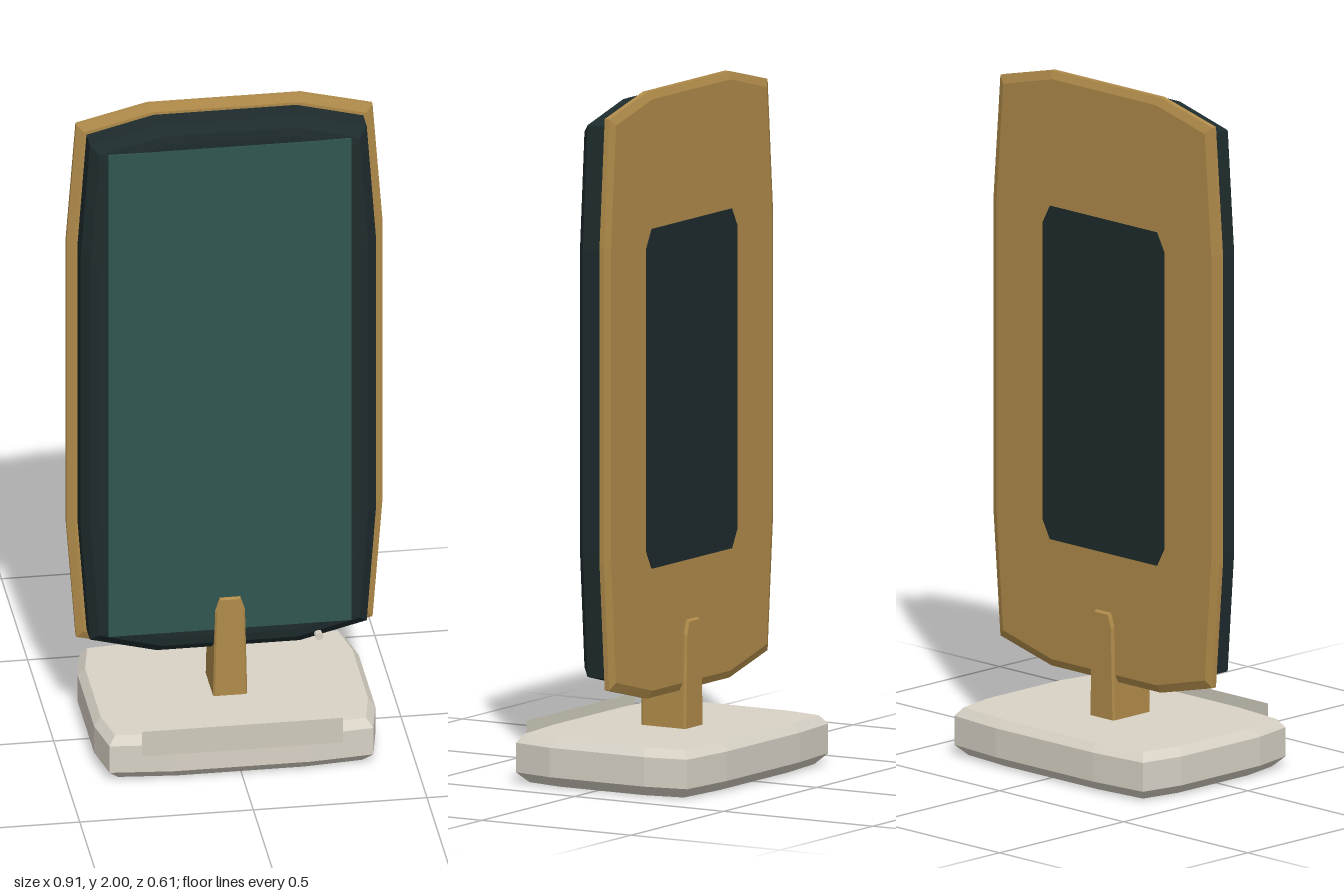
import * as THREE from 'three';

const mat = (name, color) => Object.assign(new THREE.MeshStandardMaterial({ color, flatShading: true }), { name });

// Twelve-sided bowed rectangle, counter-clockwise, half sizes w and h
function outline(w, h) {
  const q = [[1, 0.52], [0.938, 0.942], [0.485, 1]];
  const flip = q.slice().reverse();
  return [
    ...q.map(([x, y]) => [x * w, y * h]),
    ...flip.map(([x, y]) => [-x * w, y * h]),
    ...q.map(([x, y]) => [-x * w, -y * h]),
    ...flip.map(([x, y]) => [x * w, -y * h]),
  ];
}

// Solid slab through rings [z, inset] from back to front, capped at both ends
function slab(w, h, rings) {
  const loops = rings.map(([z, d]) => outline(w - d, h - d).map(([x, y]) => [x, y, z]));
  const n = loops[0].length;
  const pos = [];
  const tri = (...pts) => pts.forEach((p) => pos.push(...p));
  for (let r = 0; r < loops.length - 1; r++) {
    const a = loops[r], b = loops[r + 1];
    for (let i = 0; i < n; i++) {
      const j = (i + 1) % n;
      tri(a[i], a[j], b[j]);
      tri(a[i], b[j], b[i]);
    }
  }
  const back = loops[0], front = loops[loops.length - 1];
  for (let i = 1; i < n - 1; i++) {
    tri(back[0], back[i + 1], back[i]);
    tri(front[0], front[i], front[i + 1]);
  }
  const g = new THREE.BufferGeometry();
  g.setAttribute('position', new THREE.Float32BufferAttribute(pos, 3));
  g.computeVertexNormals();
  return g;
}

const polygon = (pts) => new THREE.Shape(pts.map(([x, y]) => new THREE.Vector2(x, y)));

export function createModel() {
  const group = new THREE.Group();
  const gold = mat('gold', 0xb08b4a);
  const dark = mat('darkCase', 0x1e2b2d);
  const glass = mat('greenScreen', 0x2f5650);
  const stone = mat('paleStone', 0xd8d2c6);
  const label = mat('paleLabel', 0xcfccbc);
  label.side = THREE.DoubleSide;

  const add = (name, geometry, material, x = 0, y = 0, z = 0) => {
    const mesh = new THREE.Mesh(geometry, material);
    mesh.name = name;
    mesh.position.set(x, y, z);
    group.add(mesh);
    return mesh;
  };

  // Base, lofted upwards
  const base = add('base', slab(0.405, 0.305,
    [[0, 0.03], [0.03, 0], [0.115, 0], [0.14, 0.02]]), stone, 0, 0, -0.015);
  base.rotation.x = -Math.PI / 2;

  // Upright plate on the front of the base
  add('basePlate', new THREE.PlaneGeometry(0.58, 0.08), label, 0, 0.125, 0.292);

  // Stem that grips the panel
  const stem = new THREE.ExtrudeGeometry(
    polygon([[-0.045, 0.12], [0.045, 0.12], [0.038, 0.41], [0.026, 0.447], [-0.026, 0.447], [-0.038, 0.41]]),
    { depth: 0.138, bevelEnabled: true, bevelThickness: 0.006, bevelSize: 0.005, bevelSegments: 1 });
  add('stem', stem, gold, 0, 0, -0.084);

  // Gold back plate and dark case
  add('backPlate', slab(0.455, 0.875,
    [[-0.08, 0.022], [-0.07, 0], [-0.055, 0], [-0.045, 0.022]]), gold, 0, 1.125, 0);
  add('case', slab(0.425, 0.845,
    [[-0.046, 0], [0.02, 0], [0.045, 0.025], [0.049, 0.05]]), dark, 0, 1.125, 0);

  // Screen
  add('screen', new THREE.BoxGeometry(0.7, 1.55, 0.006), glass, 0, 1.125, 0.049);

  // Rear panel with clipped corners
  const w = 0.245, h = 0.49;
  const rear = new THREE.ExtrudeGeometry(polygon([
    [w, -h + 0.055], [w, h - 0.055], [w - 0.03, h], [-w + 0.03, h],
    [-w, h - 0.055], [-w, -h + 0.055], [-w + 0.03, -h], [w - 0.03, -h],
  ]), { depth: 0.004, bevelEnabled: false });
  add('rearPanel', rear, dark, 0, 1.115, -0.083);

  // Small button in the lower corner
  const button = add('button', new THREE.CylinderGeometry(0.012, 0.012, 0.022, 8), stone, 0.255, 0.31, 0.053);
  button.rotation.x = Math.PI / 2;

  return group;
}
